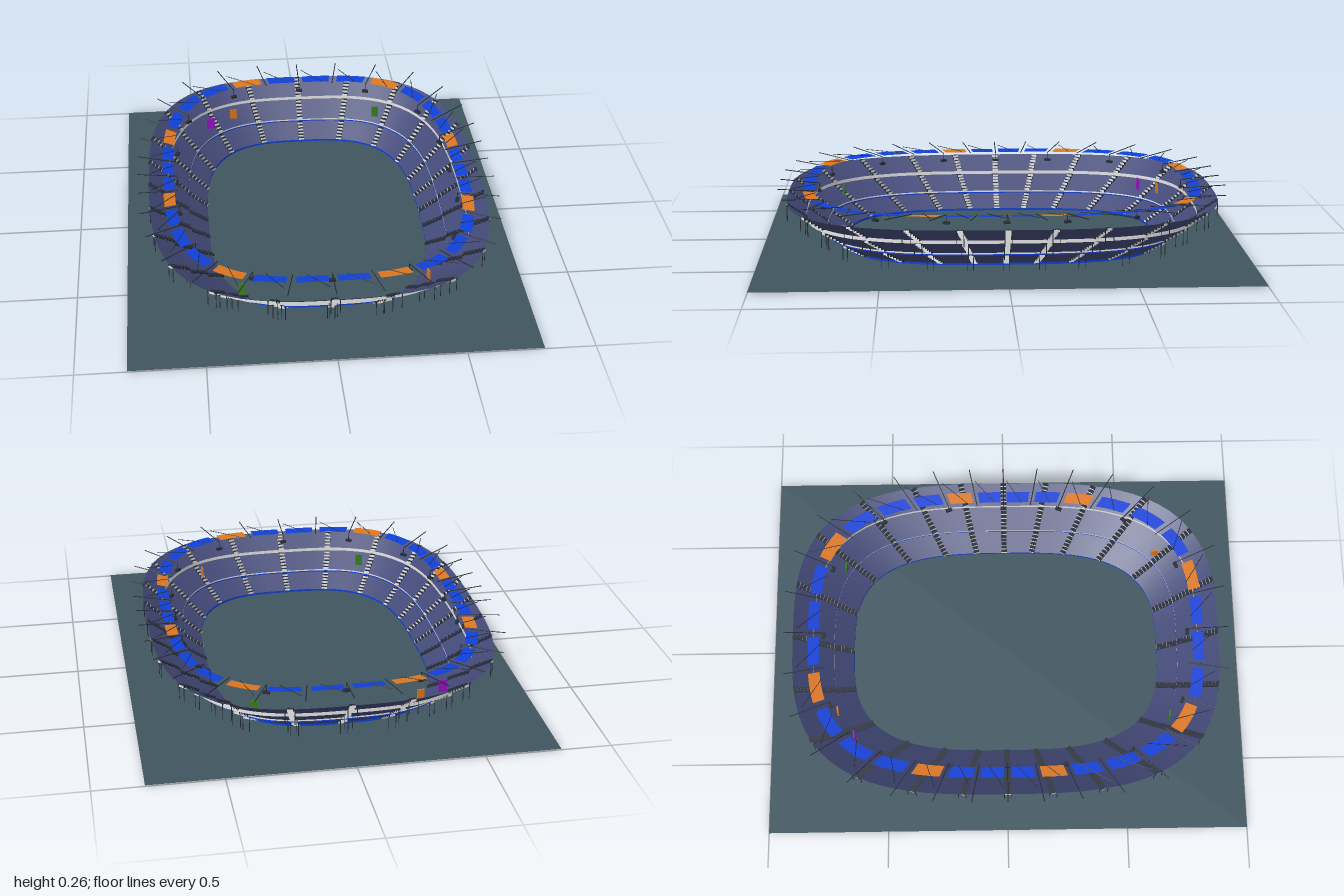
import * as THREE from 'three';

const mat = (name, color, side = THREE.FrontSide) =>
  Object.assign(new THREE.MeshStandardMaterial({ color, side }), { name });

const BOTH = THREE.DoubleSide;
const M = {
  ground: mat('slate ground', 0x40555f, BOTH),
  grass: mat('pitch green', 0x437d13, BOTH),
  seats: mat('seating indigo', 0x434a78, BOTH),
  white: mat('white', 0xffffff, BOTH),
  blue: mat('panel blue', 0x0f40d8, BOTH),
  orange: mat('panel orange', 0xdd771f, BOTH),
  steel: mat('dark steel', 0x262c38),
  purple: mat('banner purple', 0x9a10c8, BOTH),
  green: mat('banner green', 0x3a7d22, BOTH),
};

// point on a rounded-rectangle ring [halfWidth, halfLength, height] at a polar angle
const N = 3.1;
function at([a, b, y], t) {
  const c = Math.cos(t), s = Math.sin(t);
  const r = (Math.abs(c / a) ** N + Math.abs(s / b) ** N) ** (-1 / N);
  return new THREE.Vector3(r * c, y, r * s);
}

// surface strip between an inner and an outer ring
function band(inner, outer, t0 = 0, t1 = Math.PI * 2, steps = 96) {
  const pos = [], idx = [];
  for (let i = 0; i <= steps; i++) {
    const t = t0 + ((t1 - t0) * i) / steps;
    pos.push(...at(inner, t).toArray(), ...at(outer, t).toArray());
    const k = i * 2;
    if (i < steps) idx.push(k, k + 2, k + 1, k + 1, k + 2, k + 3);
  }
  const g = new THREE.BufferGeometry();
  g.setAttribute('position', new THREE.Float32BufferAttribute(pos, 3));
  g.setIndex(idx);
  g.computeVertexNormals();
  return g;
}

function add(parent, name, geometry, material) {
  const m = new THREE.Mesh(geometry, material);
  m.name = name;
  parent.add(m);
  return m;
}

// thin square bar between two points
function bar(parent, name, p, q, r = 0.002) {
  const m = add(parent, name, new THREE.CylinderGeometry(r, r, p.distanceTo(q), 4), M.steel);
  m.position.copy(p).lerp(q, 0.5);
  m.quaternion.setFromUnitVectors(new THREE.Vector3(0, 1, 0), q.clone().sub(p).normalize());
  return m;
}

function group(parent, name) {
  const g = new THREE.Group();
  g.name = name;
  parent.add(g);
  return g;
}

export function createModel() {
  const model = new THREE.Group();
  model.name = 'stadium';

  // ground sheet with the pitch on its underside
  add(model, 'ground', new THREE.PlaneGeometry(1.6, 2).rotateX(-Math.PI / 2), M.ground).position.y = 0.004;
  add(model, 'pitch', new THREE.PlaneGeometry(0.76, 1.1).rotateX(-Math.PI / 2), M.grass);

  // three seating tiers: [inner ring, outer ring]
  const tiers = [
    [[0.455, 0.655, 0.013], [0.535, 0.737, 0.066]],
    [[0.535, 0.737, 0.077], [0.62, 0.82, 0.137]],
    [[0.62, 0.82, 0.151], [0.7, 0.9, 0.212]],
  ];
  const names = ['lower', 'middle', 'upper'];
  tiers.forEach(([p, q], i) => add(model, names[i] + 'Tier', band(p, q), M.seats));

  // vertical fascias at the foot of each tier
  const fascia = (name, a, b, y0, y1, m) => add(model, name, band([a, b, y0], [a, b, y1]), m);
  fascia('pitchBoards', 0.455, 0.655, 0.004, 0.013, M.blue);
  fascia('lowerFasciaBlue', 0.535, 0.737, 0.066, 0.071, M.blue);
  fascia('lowerFasciaWhite', 0.535, 0.737, 0.071, 0.077, M.white);
  fascia('upperFascia', 0.62, 0.82, 0.137, 0.151, M.white);

  // stair aisles with dark treads and white risers, and posts under the tiers
  const aisles = group(model, 'aisles');
  const posts = group(model, 'posts');
  const STEPS = 6;
  for (let k = 0; k < 24; k++) {
    const t = (k * Math.PI) / 12;
    for (const [p, q] of tiers) {
      const A = at(p, t), B = at(q, t), d = B.clone().sub(A);
      const run = Math.hypot(d.x, d.z) / STEPS;
      const geo = new THREE.BoxGeometry(0.024, d.y / STEPS, run);
      for (let i = 0; i < STEPS; i++) {
        const step = add(aisles, 'step', geo,
          [M.steel, M.steel, M.steel, M.steel, M.white, M.white]);
        step.position.copy(A).addScaledVector(d, (i + 0.5) / STEPS);
        step.rotation.y = Math.atan2(d.x, d.z);
      }
      for (const side of [-0.02, 0.02]) {
        const top = at(q, t + side);
        bar(posts, 'post', top, top.clone().setY(Math.max(0.004, q[2] - 0.066)), 0.0015);
      }
    }
  }

  // floating ring of roof panels
  const roof = group(model, 'roofRing');
  const pitchAngle = Math.PI / 16;
  for (let k = 0; k < 32; k++) {
    const t = k * pitchAngle;
    add(roof, 'roofPanel',
      band([0.593, 0.785, 0.246], [0.64, 0.832, 0.251], t + 0.022, t + pitchAngle - 0.022, 4),
      k % 4 === 2 ? M.orange : M.blue);

    // slim radial truss with a slanting brace
    const inner = at([0.58, 0.77, 0.245], t);
    const outer = at([0.745, 0.935, 0.262], t);
    bar(roof, 'truss', inner, outer);
    bar(roof, 'brace', at([0.59, 0.78, 0.252], t + 0.13), at([0.69, 0.88, 0.258], t + 0.02), 0.0015);

    // hangers with loudspeakers
    if (k % 2 === 0) {
      bar(roof, 'hanger', inner, inner.clone().setY(0.212), 0.0015);
      const box = add(roof, 'loudspeaker', new THREE.BoxGeometry(0.026, 0.01, 0.014), M.steel);
      box.position.copy(inner).setY(0.212);
      box.rotation.y = Math.atan2(inner.x, inner.z);
    }
  }

  // banners standing in the middle tier: x, z, y, width, height, colour
  const banners = [
    [-0.417, -0.64, 0.13, 0.035, 0.05, M.purple],
    [-0.31, -0.71, 0.135, 0.03, 0.045, M.orange],
    [0.395, 0.655, 0.135, 0.03, 0.045, M.orange],
    [0.345, -0.685, 0.13, 0.03, 0.05, M.green],
    [-0.345, 0.685, 0.13, 0.03, 0.05, M.green],
  ];
  for (const [x, z, y, w, h, m] of banners) {
    const b = add(model, 'banner', new THREE.BoxGeometry(w, h, 0.006), m);
    b.position.set(x, y, z);
    b.rotation.y = Math.atan2(-x, -z) * 0.25 + (z < 0 ? 0 : Math.PI * 0.75);
  }
  return model;
}
